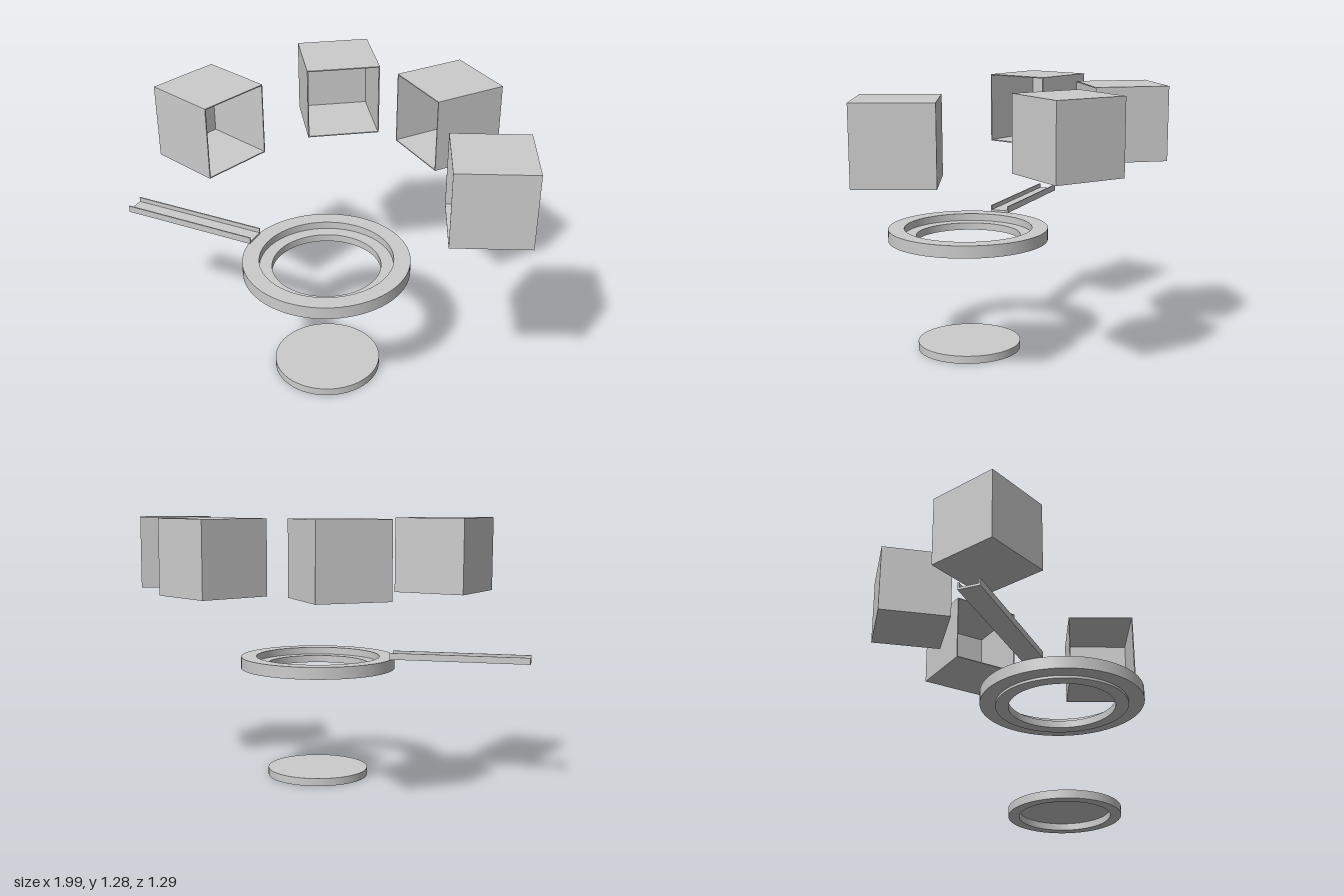
import * as THREE from 'three';
import { toCreasedNormals } from 'three/addons/utils/BufferGeometryUtils.js';

const material = new THREE.MeshStandardMaterial({ color: 0xcccccc });

function addMesh(parent, name, geometry, x = 0, y = 0, z = 0) {
  const mesh = new THREE.Mesh(geometry, material);
  mesh.name = name;
  mesh.position.set(x, y, z);
  parent.add(mesh);
  return mesh;
}

// Turned part from a profile of [radius, height], outside upwards, inside downwards
function turned(profile) {
  const points = profile.map(([r, y]) => new THREE.Vector2(r, y));
  return toCreasedNormals(new THREE.LatheGeometry(points, 72), 0.5);
}

function extruded(shape, depth) {
  return new THREE.ExtrudeGeometry(shape, { depth, bevelEnabled: false });
}

function rectangle(Type, w, h) {
  return new Type([[-w, -h], [w, -h], [w, h], [-w, h]].map(([x, y]) => new THREE.Vector2(x / 2, y / 2)));
}

// Thin-walled cube, open towards its own +z
function openBox(name, x, z, degrees) {
  const size = 0.342, wall = 0.005;
  const box = new THREE.Group();
  box.name = name;
  const frame = rectangle(THREE.Shape, size, size);
  frame.holes.push(rectangle(THREE.Path, size - 2 * wall, size - 2 * wall));
  addMesh(box, 'boxWalls', extruded(frame, size - wall), 0, 0, -size / 2 + wall);
  addMesh(box, 'boxBack', new THREE.BoxGeometry(size, size, wall), 0, 0, (wall - size) / 2);
  box.position.set(x, 1.114, z);
  box.rotation.y = THREE.MathUtils.degToRad(degrees);
  return box;
}

export function createModel() {
  const model = new THREE.Group();
  model.name = 'explodedBoxHolder';
  const cx = 0.04, cz = 0.262;

  // Cap with a hollow underside
  addMesh(model, 'cap', turned([
    [0, 0.03], [0.2, 0.03], [0.2, 0], [0.248, 0], [0.248, 0.037], [0, 0.037],
  ].map(([r, y]) => [r, y])), cx, 0, cz);

  // Ring with a stepped seat inside and a lip below
  addMesh(model, 'ring', turned([
    [0.248, 0.53], [0.308, 0.53], [0.308, 0.542], [0.381, 0.542], [0.381, 0.6],
    [0.305, 0.6], [0.305, 0.565], [0.248, 0.565], [0.248, 0.53],
  ]), cx, 0, cz);

  // U-shaped channel arm
  const w = 0.048, t = 0.006, h = 0.032, floor = 0.01;
  const channel = new THREE.Shape([
    [-w, 0], [w, 0], [w, h], [w - t, h], [w - t, floor], [-w + t, floor], [-w + t, h], [-w, h],
  ].map(([a, b]) => new THREE.Vector2(a, b)));
  addMesh(model, 'channelArm', extruded(channel, 0.67), -0.33, 0.6, cz).rotation.y = -Math.PI / 2;

  // Open boxes fanned around the ring, facing inwards
  [
    ['boxRight', -0.594, 0.16, 73],
    ['boxBackRight', -0.22, -0.408, 34.5],
    ['boxBackLeft', 0.364, -0.36, -36],
    ['boxLeft', 0.77, 0.226, -67],
  ].forEach((spec) => model.add(openBox(...spec)));

  return model;
}
